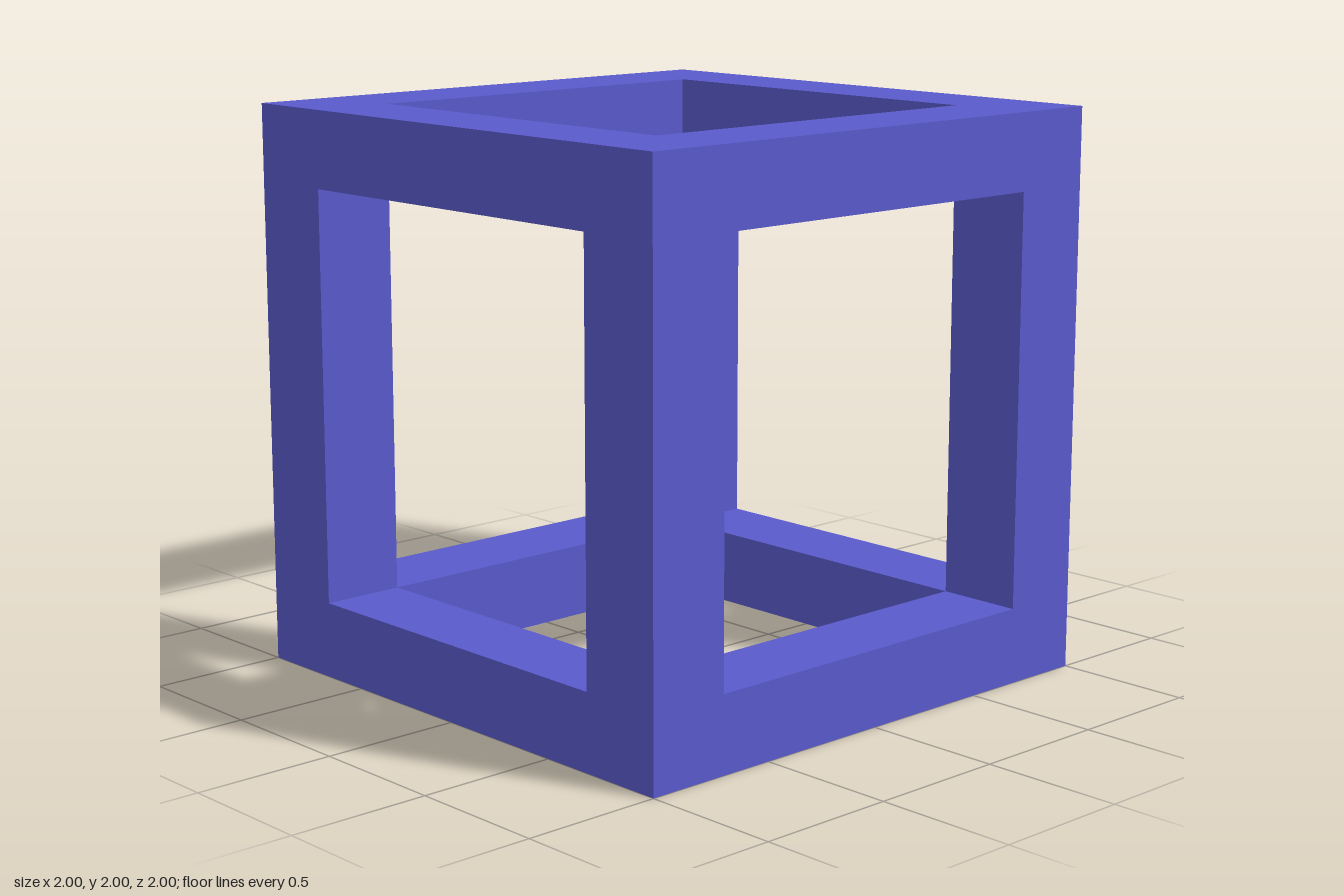
import * as THREE from 'three';

const RAIL = 0.27;                        // height of the top and bottom frames
const X0 = -0.68, X1 = 0.69, Z = 0.7;     // limits of the opening

export function createModel() {
  const group = new THREE.Group();
  group.name = 'openCubeFrame';
  const blue = new THREE.MeshStandardMaterial({ color: 0x5a5acc });
  blue.name = 'violet blue';

  // Square frame with a rectangular opening, laid flat
  const outline = new THREE.Shape([[-1, -1], [1, -1], [1, 1], [-1, 1]].map(p => new THREE.Vector2(...p)));
  outline.holes.push(new THREE.Path([[X0, -Z], [X0, Z], [X1, Z], [X1, -Z]].map(p => new THREE.Vector2(...p))));
  const ring = new THREE.ExtrudeGeometry(outline, { depth: RAIL, bevelEnabled: false });
  ring.rotateX(-Math.PI / 2);
  for (const [name, y] of [['bottomFrame', 0], ['topFrame', 2 - RAIL]]) {
    const mesh = new THREE.Mesh(ring, blue);
    mesh.name = name;
    mesh.position.y = y;
    group.add(mesh);
  }

  // Four corner posts between the frames
  for (const [side, a, b] of [['Right', -1, X0], ['Left', X1, 1]]) {
    for (const [end, s] of [['front', 1], ['back', -1]]) {
      const post = new THREE.Mesh(new THREE.BoxGeometry(b - a, 2 - 2 * RAIL, 1 - Z), blue);
      post.name = `${end}${side}Post`;
      post.position.set((a + b) / 2, 1, s * (1 + Z) / 2);
      group.add(post);
    }
  }
  return group;
}
